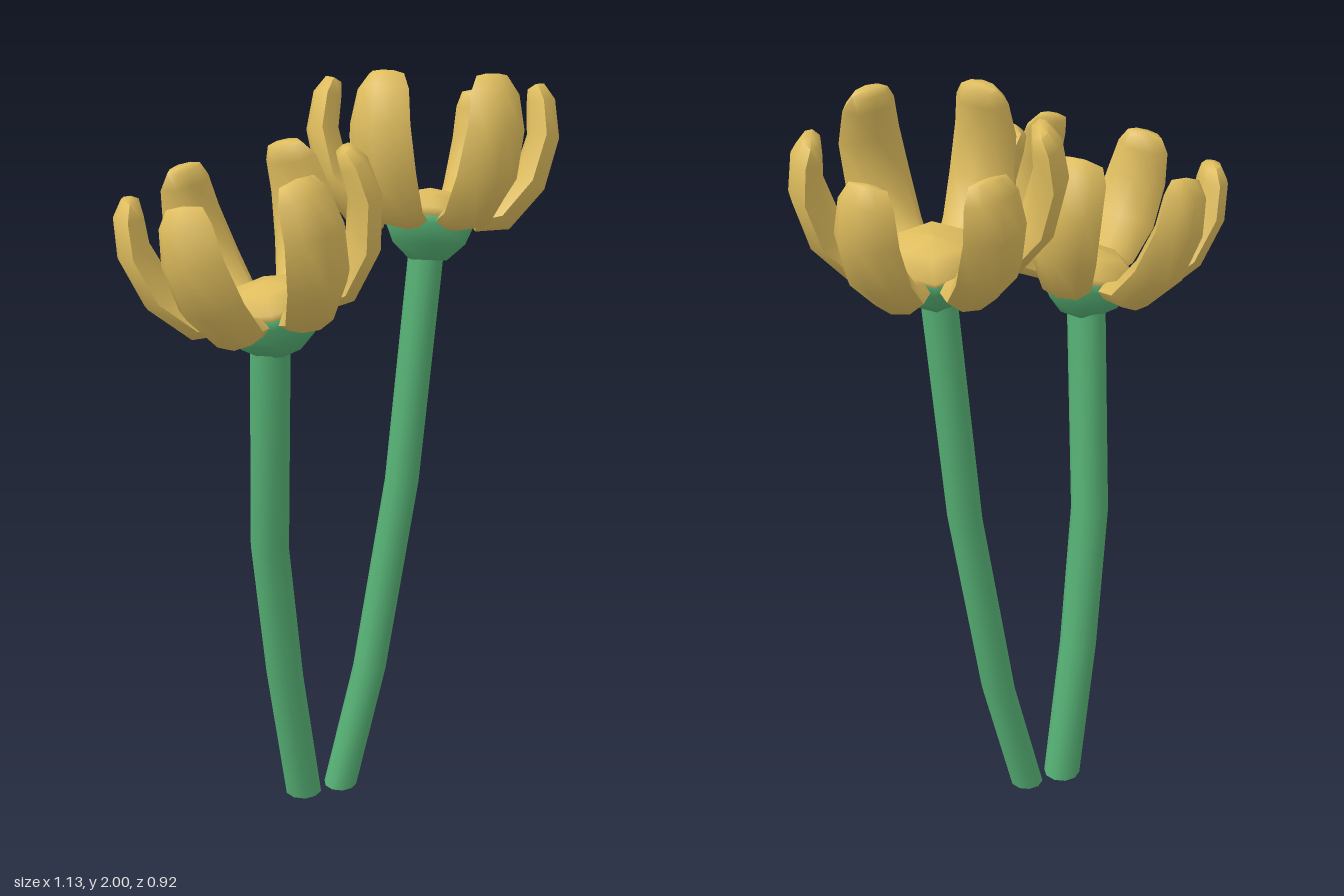
import * as THREE from 'three';
import { toCreasedNormals } from 'three/addons/utils/BufferGeometryUtils.js';

const green = new THREE.MeshStandardMaterial({ color: 0x56b175 });
green.name = 'stem green';
const gold = new THREE.MeshStandardMaterial({ color: 0xdebc5d });
gold.name = 'petal gold';

function mesh(name, geometry, material) {
  const m = new THREE.Mesh(geometry, material);
  m.name = name;
  return m;
}

// Stem: a cylinder whose level rings follow a list of [x, y, z] points
function stemGeometry(path, radius) {
  const last = path.length - 1;
  const g = new THREE.CylinderGeometry(radius, radius, last, 10, last);
  const p = g.attributes.position;
  for (let i = 0; i < p.count; i++) {
    const [x, y, z] = path[Math.round(p.getY(i) + last / 2)];
    p.setXYZ(i, p.getX(i) + x, y, p.getZ(i) + z);
  }
  g.computeVertexNormals();
  return toCreasedNormals(g, 1);
}

// Petal: stations of [radius, height, half width, half thickness], swept with a rounded section
const STATIONS = [
  [0.112, 0.018, 0.052, 0.026],
  [0.18, 0.035, 0.073, 0.042],
  [0.25, 0.125, 0.088, 0.045],
  [0.28, 0.24, 0.083, 0.042],
  [0.27, 0.325, 0.07, 0.037],
  [0.256, 0.362, 0.048, 0.022],
];
const SECTION = [[-1, 0], [-0.62, -0.75], [0, -1], [0.62, -0.75], [1, 0], [0.62, 0.85], [0, 0.95], [-0.62, 0.85]];

function petalGeometry() {
  const pos = [], index = [], n = SECTION.length, last = STATIONS.length - 1;
  STATIONS.forEach(([r, h, w, t], i) => {
    const a = STATIONS[Math.max(i - 1, 0)], b = STATIONS[Math.min(i + 1, last)];
    const len = Math.hypot(b[0] - a[0], b[1] - a[1]);
    const tr = (b[0] - a[0]) / len, th = (b[1] - a[1]) / len;
    for (const [s, d] of SECTION) pos.push(r - th * d * t, h + tr * d * t, s * w);
  });
  for (let i = 0; i < last; i++) {
    for (let j = 0; j < n; j++) {
      const a = i * n + j, b = i * n + (j + 1) % n;
      index.push(a, b + n, b, a, a + n, b + n);
    }
  }
  // End caps
  const base = pos.length / 3;
  pos.push(...STATIONS[0].slice(0, 2), 0, STATIONS[last][0], STATIONS[last][1] + 0.006, 0);
  for (let j = 0; j < n; j++) {
    const k = (j + 1) % n;
    index.push(base, j, k, base + 1, last * n + k, last * n + j);
  }
  const g = new THREE.BufferGeometry();
  g.setAttribute('position', new THREE.Float32BufferAttribute(pos, 3));
  g.setIndex(index);
  g.computeVertexNormals();
  return toCreasedNormals(g, 1.1);
}

function lathe(points) {
  return new THREE.LatheGeometry(points.map(([r, h]) => new THREE.Vector2(r, h)), 6);
}

// Flower head: six-sided cup and domed centre ringed by six petals
function flower(name, petal, position, tiltX, tiltZ, spin) {
  const head = new THREE.Group();
  head.name = name;
  head.position.set(...position);
  head.rotation.set(tiltX, 0, tiltZ);
  const ring = new THREE.Group();
  ring.name = 'bloom';
  ring.rotation.y = spin;
  ring.add(mesh('cup', lathe([[0, -0.086], [0.055, -0.082], [0.105, -0.04], [0.128, 0.01], [0.122, 0.03]]), green));
  ring.add(mesh('flowerCentre', lathe([[0.118, 0.025], [0.138, 0.05], [0.085, 0.086], [0, 0.1]]), gold));
  for (let i = 0; i < 6; i++) {
    const m = mesh('petal', petal, gold);
    m.rotation.y = i * Math.PI / 3;
    ring.add(m);
  }
  head.add(ring);
  return head;
}

export function createModel() {
  const model = new THREE.Group();
  model.name = 'flowers';
  const petal = petalGeometry();

  model.add(mesh('rightStem', stemGeometry(
    [[-0.118, 0, 0.005], [-0.17, 0.4, 0.052], [-0.208, 0.8, 0.105], [-0.203, 1.37, 0.17]], 0.051), green));
  model.add(mesh('leftStem', stemGeometry(
    [[-0.01, 0, -0.018], [0.076, 0.35, -0.05], [0.164, 0.9, -0.072], [0.222, 1.53, -0.085]], 0.046), green));

  model.add(flower('rightFlower', petal, [-0.195, 1.432, 0.172], 0, 0.22, -0.03));
  model.add(flower('leftFlower', petal, [0.23, 1.583, -0.097], -0.22, -0.06, -0.12));
  return model;
}
